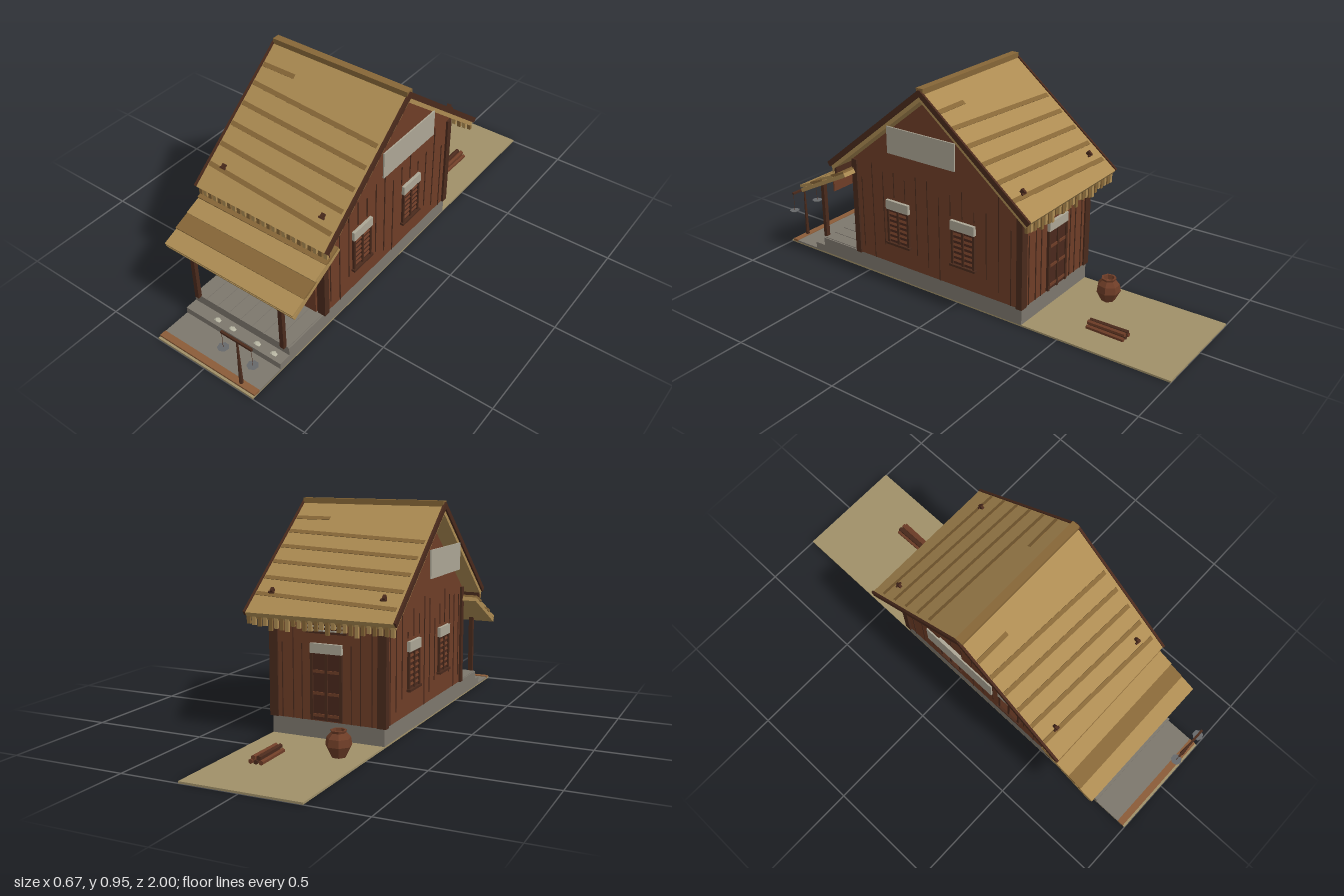
import * as THREE from 'three';

const mat = (color, flat = true) => new THREE.MeshStandardMaterial({ color, flatShading: flat, side: THREE.DoubleSide });
const M = {
  wall: mat(0x6e3d27), dark: mat(0x4a2a1c), thatch: mat(0xac8b52), band: mat(0x866637), stone: mat(0x7d776d),
  sign: mat(0xaca695), earth: mat(0xa09068), plank: mat(0x8a5c38), hole: mat(0x4a281c), metal: mat(0x66686a), pale: mat(0xb9b7a4),
};
const RIDGE = { y: 0.94, z: 0.11 }, PITCH = Math.atan(0.806), SLOPE = 0.675;

export function createModel() {
  const root = new THREE.Group();
  let seed = 7;
  const rnd = () => (seed = (seed * 16807) % 2147483647) / 2147483647;

  const add = (name, geo, m, x, y, z, parent = root) => {
    const mesh = new THREE.Mesh(geo, m);
    mesh.name = name;
    mesh.position.set(x, y, z);
    parent.add(mesh);
    return mesh;
  };
  // box given by its ranges along each axis
  const box = (name, m, x0, x1, y0, y1, z0, z1, parent = root) =>
    add(name, new THREE.BoxGeometry(x1 - x0, y1 - y0, z1 - z0), m, (x0 + x1) / 2, (y0 + y1) / 2, (z0 + z1) / 2, parent);
  const group = (name, parent = root) => {
    const g = new THREE.Group();
    g.name = name;
    parent.add(g);
    return g;
  };

  // ground, path, foundation and steps
  box('ground', M.earth, -0.25, 0.25, 0, 0.008, -1, 1);
  box('path', M.stone, -0.25, 0.25, 0.006, 0.013, 0.8, 0.96);
  box('frontKerb', M.plank, -0.25, 0.25, 0.006, 0.016, 0.96, 0.99);
  box('foundation', M.stone, -0.25, 0.25, 0.006, 0.08, -0.33, 0.78);
  box('step', M.stone, -0.25, 0.25, 0.006, 0.042, 0.78, 0.835);
  for (let i = 0; i < 8; i++) box('porchBoard', M.stone, -0.245 + i * 0.0615, -0.187 + i * 0.0615, 0.08, 0.083, 0.57, 0.78);
  for (const x of [-0.1, -0.02, 0.11, 0.195]) {
    const s = add('stepPebble', new THREE.IcosahedronGeometry(0.018, 0), M.pale, x, 0.042, 0.81);
    s.scale.set(1, 0.45, 0.7);
  }

  // house body: five-sided gable section, extruded across the width
  const section = new THREE.Shape([[-0.56, 0.08], [0.33, 0.08], [0.33, 0.54], [-0.11, 0.897], [-0.56, 0.54]]
    .map(p => new THREE.Vector2(...p)));
  const bodyGeo = new THREE.ExtrudeGeometry(section, { depth: 0.5, bevelEnabled: false });
  bodyGeo.translate(0, 0, -0.25).rotateY(Math.PI / 2);
  add('walls', bodyGeo, M.wall, 0, 0, 0);

  // windows, battens and gable board on both sides
  for (const s of [1, -1]) {
    const side = group(s > 0 ? 'leftSide' : 'rightSide');
    side.scale.x = s;
    for (const z of [0.55, -0.324]) box('cornerPost', M.dark, 0.222, 0.26, 0.08, 0.53, z - 0.013, z + 0.015, side);
    for (let i = 0; i < 14; i++) {
      const z = -0.28 + i * 0.061, top = 0.42 + rnd() * 0.14;
      if (Math.abs(z - 0.31) < 0.065 || Math.abs(z + 0.04) < 0.065) box('batten', M.dark, 0.25, 0.253, 0.4, top, z, z + 0.004, side);
      else box('batten', M.dark, 0.25, 0.253, 0.08 + (i % 3) * 0.04, top, z, z + 0.004, side);
    }
    for (const z of [0.31, -0.04]) {
      const w = group('window', side);
      w.position.z = z;
      box('windowOpening', M.hole, 0.245, 0.254, 0.185, 0.345, -0.055, 0.055, w);
      for (const d of [-0.055, 0, 0.055]) box('windowUpright', M.dark, 0.25, 0.261, 0.185, 0.345, d - 0.005, d + 0.005, w);
      for (let i = 0; i < 6; i++) {
        const slat = box('windowSlat', M.wall, 0.252, 0.256, 0.2 + i * 0.024, 0.211 + i * 0.024, -0.052, 0.052, w);
        slat.rotation.z = 0.35;
      }
      box('windowSill', M.dark, 0.25, 0.267, 0.178, 0.188, -0.066, 0.066, w);
      box('windowLintel', M.sign, 0.25, 0.264, 0.345, 0.387, -0.062, 0.062, w);
    }
    box('gableBoard', M.sign, 0.331, 0.337, 0.645, 0.762, -0.065, 0.283, side);
    // porch post and bracket
    box('porchPost', M.dark, 0.215, 0.235, 0.08, 0.37, 0.776, 0.794, side);
    box('wallBracket', M.dark, 0.16, 0.21, 0.24, 0.246, 0.56, 0.572, side);
  }

  // front doorway with sliding leaf
  const front = group('frontEntrance');
  box('doorwayOpening', M.hole, -0.165, 0.165, 0.08, 0.3, 0.555, 0.563, front);
  box('slidingDoor', M.wall, 0.09, 0.215, 0.08, 0.24, 0.56, 0.568, front);
  box('doorHead', M.dark, -0.18, 0.18, 0.3, 0.315, 0.555, 0.572, front);
  box('porchBeam', M.dark, -0.25, 0.25, 0.355, 0.37, 0.776, 0.794, front);
  box('signBack', M.wall, -0.165, 0.165, 0.285, 0.36, 0.779, 0.786, front);
  box('signBoard', M.sign, -0.158, 0.158, 0.291, 0.355, 0.786, 0.79, front);

  // back door, lintel and vent
  const back = group('backEntrance');
  box('backDoor', M.hole, -0.065, 0.065, 0.085, 0.36, -0.336, -0.325, back);
  for (const x of [-0.065, 0, 0.065]) box('doorStile', M.dark, x - 0.006, x + 0.006, 0.085, 0.36, -0.342, -0.33, back);
  for (const y of [0.1, 0.19, 0.28]) box('doorRail', M.wall, -0.065, 0.065, y, y + 0.012, -0.34, -0.33, back);
  box('doorLintel', M.sign, -0.07, 0.07, 0.36, 0.4, -0.344, -0.33, back);
  box('vent', M.dark, -0.09, 0.09, 0.44, 0.5, -0.34, -0.33, back);
  for (let i = 0; i < 3; i++) box('ventSlat', M.sign, -0.085, 0.085, 0.45 + i * 0.016, 0.456 + i * 0.016, -0.344, -0.338, back);
  for (const x of [-0.2, -0.15, -0.11, 0.11, 0.15, 0.2]) box('backBatten', M.dark, x, x + 0.004, 0.08, 0.34 + rnd() * 0.16, -0.333, -0.33, back);

  // main roof: two thatched slopes, each laid out along local z from the ridge
  for (const s of [1, -1]) {
    const turn = group(s > 0 ? 'frontRoof' : 'backRoof');
    turn.position.set(0, RIDGE.y, RIDGE.z);
    turn.rotation.y = s > 0 ? 0 : Math.PI;
    const slope = group('roofSlope', turn);
    slope.rotation.x = PITCH;
    box('thatch', M.thatch, -0.325, 0.325, -0.035, 0, 0, SLOPE, slope);
    for (let i = 0; i < 6; i++) {
      const len = i ? 0.63 : 0.16;
      const strip = box('thatchBand', M.band, -0.32, -0.32 + len, -0.005, 0.002, -0.01, 0.01, slope);
      strip.position.z = (i ? 0.125 + i * 0.092 : 0.115);
      strip.rotation.y = i ? -0.055 : 0;
    }
    for (const e of [1, -1]) {
      box('bargeBoard', M.dark, e * 0.328 - 0.005, e * 0.328 + 0.005, -0.018, 0.005, 0, SLOPE, slope);
      box('roofPeg', M.dark, e * 0.247 - 0.006, e * 0.247 + 0.006, 0, 0.018, 0.545, 0.565, slope);
      box('roofPegArm', M.dark, e * 0.247 - 0.015, e * 0.247 + 0.012, 0.004, 0.01, 0.56, 0.568, slope);
    }
    // straw fringe hanging from the eave
    const n = 26;
    for (let i = 0; i < n; i++) {
      const x = -0.315 + (i / (n - 1)) * 0.63, drop = s > 0 ? 0.035 : 0.035 + rnd() * 0.028;
      box('eaveStraw', i % 2 ? M.thatch : M.band, x - 0.009, x + 0.007, -0.432 - drop, -0.432, 0.5, 0.512, turn);
    }
    if (s > 0) box('eaveBoard', M.dark, -0.32, 0.32, -0.475, -0.44, 0.49, 0.5, turn);
  }
  box('ridgeCap', M.band, -0.327, 0.327, 0.925, 0.95, 0.093, 0.127);

  // porch roof of overlapping boards
  const porch = group('porchRoof');
  porch.position.set(0, 0.487, 0.555);
  porch.rotation.x = 0.47;
  box('porchDeck', M.thatch, -0.325, 0.325, -0.022, -0.004, 0, 0.31, porch);
  for (let i = 0; i < 4; i++) {
    const b = box('porchRoofBoard', i % 2 ? M.thatch : M.band, -0.325, 0.325, -0.004, 0.008, i * 0.075, i * 0.075 + 0.083, porch);
    b.rotation.x = -0.08;
    b.rotation.z = i % 2 ? 0.004 : -0.004;
  }

  // balance scale beside the path
  const scale = group('balanceScale');
  scale.position.set(0.172, 0, 0.975);
  add('scalePost', new THREE.CylinderGeometry(0.004, 0.009, 0.235, 6), M.dark, 0, 0.133, 0, scale);
  box('scaleBeam', M.dark, -0.08, 0.073, 0.246, 0.255, -0.005, 0.005, scale);
  for (const x of [-0.077, 0.07]) {
    add('panCord', new THREE.CylinderGeometry(0.0012, 0.0012, 0.085, 4), M.dark, x, 0.207, 0, scale);
    add('pan', new THREE.CylinderGeometry(0.024, 0.018, 0.006, 7), M.metal, x, 0.163, 0, scale);
  }

  // water jar and firewood in the back yard
  const jar = [[0, 0], [0.03, 0], [0.053, 0.045], [0.048, 0.075], [0.03, 0.095], [0.033, 0.105], [0.024, 0.105], [0.022, 0.085], [0, 0.08]];
  add('waterJar', new THREE.LatheGeometry(jar.map(p => new THREE.Vector2(...p)), 7), M.wall, -0.14, 0.008, -0.51);
  for (let i = 0; i < 5; i++) {
    const upper = i > 2;
    const log = add('firewood', new THREE.CylinderGeometry(0.01, 0.01, 0.17, 6), i % 2 ? M.dark : M.wall,
      upper ? 0.085 + (i - 3) * 0.021 : 0.075 + i * 0.021, upper ? 0.034 : 0.017, -0.643);
    log.rotation.set(Math.PI / 2, 0, (i % 3 - 1) * 0.02);
  }
  return root;
}
